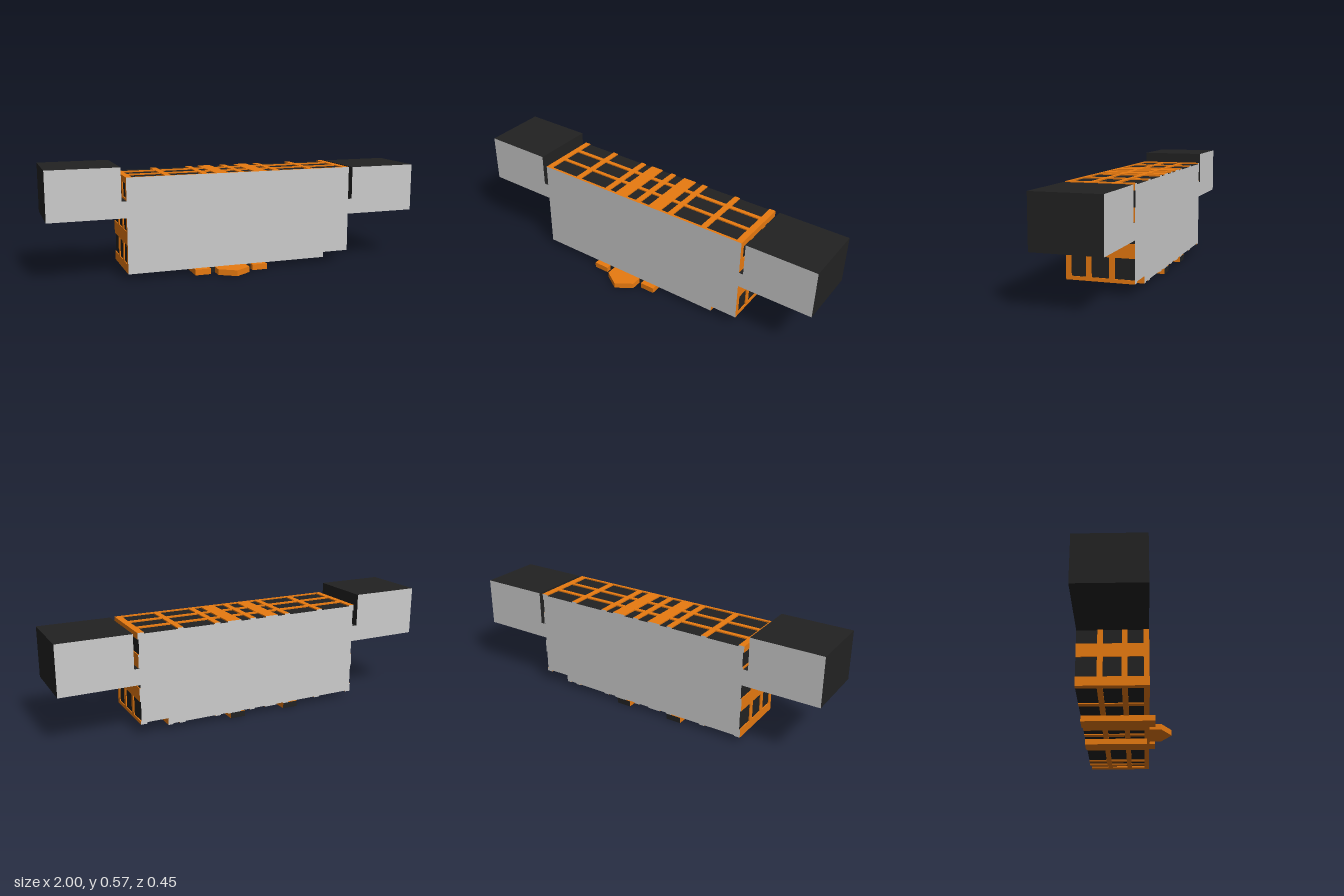
import * as THREE from 'three';

const ZB = -0.225, ZF = 0.112; // back and front planes of the body
const grey = new THREE.MeshStandardMaterial({ color: 0xcccccc });
const dark = new THREE.MeshStandardMaterial({ color: 0x222222 });
const orange = new THREE.MeshStandardMaterial({ color: 0xe87a10 });

// Box from its limits; sides lying in the front or back plane get a cap material
function box(parent, name, mat, [x0, x1], [y0, y1], [z0, z1], cap = grey) {
  const geo = new THREE.BoxGeometry(x1 - x0, y1 - y0, z1 - z0);
  const front = z1 === ZF ? cap : mat, back = z0 === ZB ? cap : mat;
  const mesh = new THREE.Mesh(geo, [mat, mat, mat, mat, front, back]);
  mesh.position.set((x0 + x1) / 2, (y0 + y1) / 2, (z0 + z1) / 2);
  mesh.name = name;
  parent.add(mesh);
}

export function createModel() {
  const model = new THREE.Group();
  const full = [ZB, ZF];
  const group = (name) => {
    const g = new THREE.Group();
    g.name = name;
    model.add(g);
    return g;
  };

  // Dark core, with a shallower underside at the left end
  const core = group('bodyCore');
  box(core, 'mainCore', dark, [-0.605, 0.603], [0.065, 0.511], full);
  box(core, 'lowerCore', dark, [-0.605, 0.46], [0.034, 0.065], full);

  // Raised frame bars
  const crossBars = [[-0.61, -0.58], [-0.41, -0.38], [-0.215, -0.185], [-0.145, -0.075],
    [-0.018, 0.012], [0.065, 0.138], [0.18, 0.21], [0.375, 0.405], [0.575, 0.608]];
  const longBars = [[-0.127, -0.1], [-0.014, 0.013], [0.086, ZF]];
  const topLongBars = [[-0.137, -0.115], [-0.02, 0], [0.098, ZF]];

  const top = group('topFrame');
  crossBars.forEach((x) => box(top, 'topCrossBar', orange, x, [0.505, 0.517], full));
  topLongBars.forEach((z) => box(top, 'topLongBar', orange, [-0.61, 0.608], [0.505, 0.517], z));

  const bottom = group('bottomFrame');
  crossBars.slice(0, -1).forEach((x) => box(bottom, 'bottomCrossBar', orange, x, [0.029, 0.04], full));
  longBars.forEach((z) => {
    box(bottom, 'bottomLongBar', orange, [-0.61, 0.465], [0.029, 0.04], z);
    box(bottom, 'stepLongBar', orange, [0.455, 0.608], [0.057, 0.07], z);
  });
  box(bottom, 'stepWall', orange, [0.44, 0.465], [0.029, 0.065], full);
  box(bottom, 'stepEndBar', orange, [0.575, 0.608], [0.057, 0.07], full);

  // Window frames on both ends
  for (const [name, x, low] of [['leftEndFrame', [0.595, 0.608], 0.057], ['rightEndFrame', [-0.61, -0.595], 0.029]]) {
    const end = group(name);
    for (const y of [[low, 0.075], [0.175, 0.243], [0.343, 0.41], [0.485, 0.517]])
      box(end, 'endRail', orange, x, y, full);
    longBars.forEach((z) => box(end, 'endPost', orange, x, [low, 0.517], z));
  }

  // Side pods, each joined to the body by a short connector
  const pods = group('sidePods');
  box(pods, 'leftPod', dark, [0.63, 1], [0.26, 0.515], full);
  box(pods, 'leftConnector', dark, [0.6, 0.63], [0.26, 0.342], full);
  box(pods, 'rightPod', dark, [-1, -0.635], [0.315, 0.568], full);
  box(pods, 'rightConnector', dark, [-0.635, -0.6], [0.315, 0.4], full);

  // Base runners with a cross wall between them
  const base = group('base');
  for (const x of [[-0.27, -0.187], [0.042, 0.122]])
    box(base, 'runner', orange, x, [0, 0.03], [ZB, 0.141], dark);
  box(base, 'crossWall', orange, [-0.187, 0.042], [0, 0.03], [0.1, ZF], dark);

  // Pointed front tongue
  const outline = [[-0.157, 0.112], [0.012, 0.112], [0.012, 0.17], [-0.072, 0.225], [-0.157, 0.17]];
  const shape = new THREE.Shape(outline.map(([x, z]) => new THREE.Vector2(x, z)));
  const geo = new THREE.ExtrudeGeometry(shape, { depth: 0.03, bevelEnabled: false });
  geo.rotateX(Math.PI / 2).translate(0, 0.03, 0);
  const tongue = new THREE.Mesh(geo, orange);
  tongue.name = 'frontTongue';
  base.add(tongue);

  return model;
}
